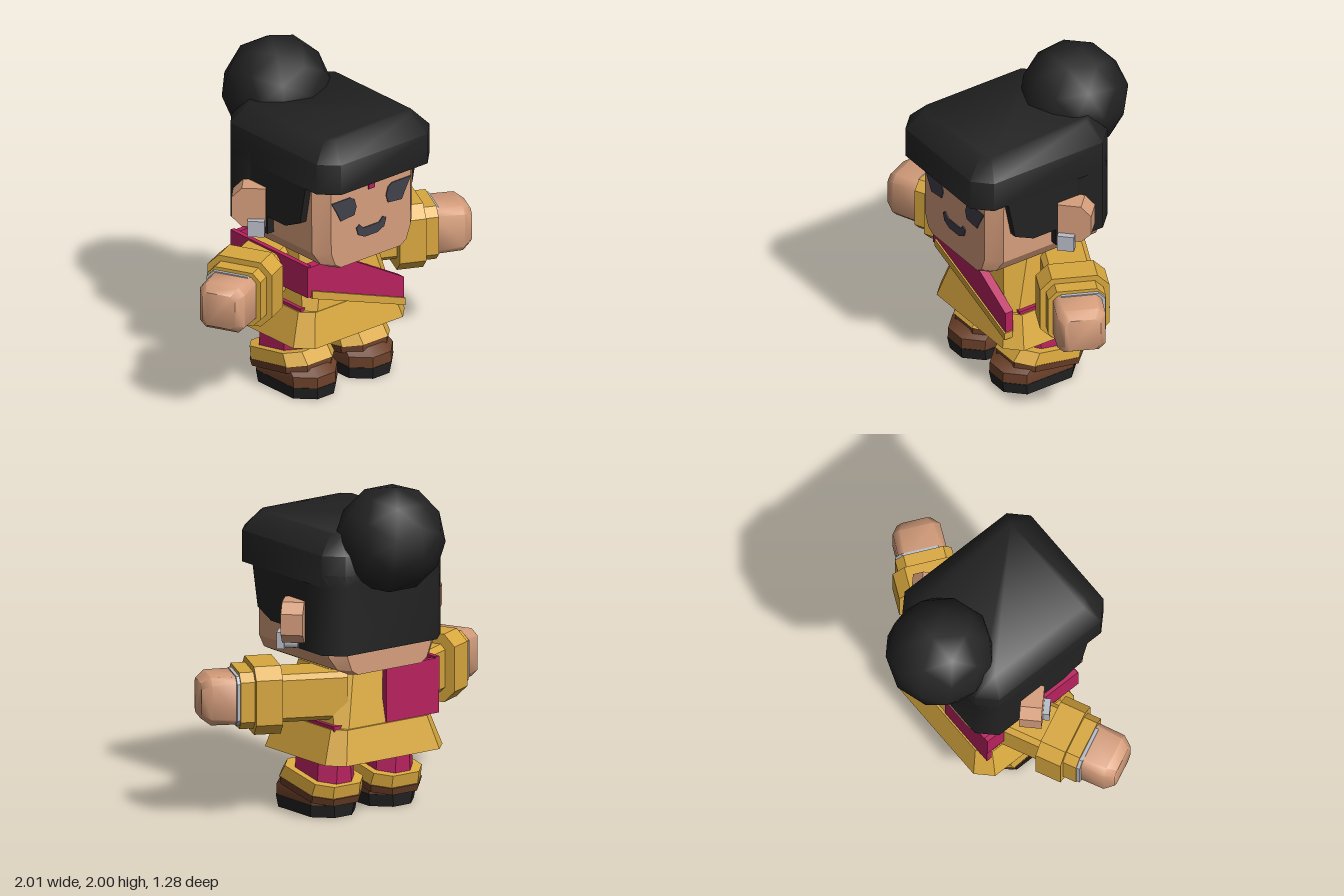
import * as THREE from 'three';
import { toCreasedNormals } from 'three/addons/utils/BufferGeometryUtils.js';

const paint = (name, color) => {
  const m = new THREE.MeshStandardMaterial({ color });
  m.name = name;
  return m;
};

// Loft of rectangles with cut corners; ring = [y, halfWidth, zBack, zFront, cornerCut]
function loft(rings, crease = 0.5) {
  const loops = rings.map(([y, h, b, f, c]) => [
    [h, y, f - c], [h, y, b + c], [h - c, y, b], [c - h, y, b],
    [-h, y, b + c], [-h, y, f - c], [c - h, y, f], [h - c, y, f],
  ]);
  const pos = [];
  const tri = (...p) => p.forEach((v) => pos.push(...v));
  for (let k = 0; k + 1 < loops.length; k++) {
    const lo = loops[k], up = loops[k + 1];
    for (let i = 0; i < 8; i++) {
      const j = (i + 1) % 8;
      tri(lo[i], lo[j], up[j]);
      tri(lo[i], up[j], up[i]);
    }
  }
  const bottom = loops[0], top = loops[loops.length - 1];
  for (let i = 1; i < 7; i++) {
    tri(top[0], top[i], top[i + 1]);
    tri(bottom[0], bottom[i + 1], bottom[i]);
  }
  const g = new THREE.BufferGeometry();
  g.setAttribute('position', new THREE.Float32BufferAttribute(pos, 3));
  g.computeVertexNormals();
  return toCreasedNormals(g, crease);
}

// Flat polygon with thickness, starting at z
function plate(points, z, depth) {
  const shape = new THREE.Shape(points.map(([x, y]) => new THREE.Vector2(x, y)));
  return new THREE.ExtrudeGeometry(shape, { depth, bevelEnabled: false }).translate(0, 0, z);
}

// Box given by its limits
const block = (x0, x1, y0, y1, z0, z1) =>
  new THREE.BoxGeometry(x1 - x0, y1 - y0, z1 - z0)
    .translate((x0 + x1) / 2, (y0 + y1) / 2, (z0 + z1) / 2);

export function createModel() {
  const model = new THREE.Group();
  model.name = 'figure';
  const skin = paint('skin', 0xd69e7c);
  const yellow = paint('yellow cloth', 0xd9a83f);
  const magenta = paint('magenta cloth', 0xb8225f);
  const black = paint('black', 0x222222);
  const brown = paint('brown leather', 0x6b4029);
  const slate = paint('slate', 0x41414b);
  const silver = paint('silver', 0xb9bdc8);

  const add = (name, geometry, material, parent = model) => {
    const mesh = new THREE.Mesh(geometry, material);
    mesh.name = name;
    parent.add(mesh);
    return mesh;
  };
  const group = (name) => {
    const g = new THREE.Group();
    g.name = name;
    model.add(g);
    return g;
  };

  // Head
  add('head', loft([
    [0.89, 0.27, -0.31, 0.52, 0.04],
    [0.92, 0.335, -0.31, 0.52, 0.06],
    [1.0, 0.385, -0.31, 0.52, 0.08],
    [1.5, 0.39, -0.31, 0.52, 0.08],
  ]), skin);

  // Hair: cap with fringe, back, sides and bun
  add('hairCap', loft([
    [1.43, 0.435, -0.33, 0.64, 0.1],
    [1.62, 0.435, -0.33, 0.64, 0.1],
    [1.73, 0.335, -0.23, 0.54, 0.05],
  ], 0.9), black);
  add('hairBack', loft([
    [1.02, 0.435, -0.33, 0.05, 0.1],
    [1.5, 0.435, -0.33, 0.05, 0.1],
  ], 0.9), black);
  add('hairSides', plate([
    [-0.22, 1.02], [0.1, 1.02], [0.1, 1.13], [0.26, 1.13],
    [0.39, 1.19], [0.44, 1.44], [-0.22, 1.5],
  ], -0.434, 0.868).rotateY(-Math.PI / 2), black);
  const bun = add('bun', new THREE.IcosahedronGeometry(0.325, 1), black);
  bun.position.set(0, 1.68, -0.32);
  bun.rotation.x = -0.17;

  // Face details
  const eye = [[0.115, 1.25], [0.13, 1.2], [0.235, 1.19], [0.26, 1.24], [0.305, 1.32], [0.16, 1.32], [0.13, 1.3]];
  for (const s of [1, -1]) {
    add(s > 0 ? 'leftEye' : 'rightEye', plate(eye.map(([x, y]) => [s * x, y]), 0.519, 0.007), slate);
  }
  add('mouth', plate([
    [-0.115, 1.11], [-0.1, 1.06], [-0.05, 1.035], [0.05, 1.035], [0.1, 1.06], [0.115, 1.11],
    [0.09, 1.125], [0.06, 1.095], [-0.06, 1.095], [-0.09, 1.125],
  ], 0.519, 0.007), slate);
  add('foreheadMark', block(-0.024, 0.024, 1.333, 1.381, 0.521, 0.53), magenta);

  // Torso, belt and skirt
  add('torso', loft([
    [0.54, 0.335, -0.28, 0.36, 0.06],
    [0.89, 0.28, -0.2, 0.3, 0.1],
  ]), yellow);
  add('belt', block(-0.352, 0.352, 0.55, 0.58, -0.24, 0.3), magenta);
  add('skirt', loft([
    [0.36, 0.43, -0.345, 0.415, 0.09],
    [0.56, 0.36, -0.29, 0.36, 0.07],
  ]), yellow);

  // Sash across the chest, over the right shoulder and down the back
  add('sashFront', plate([
    [-0.39, 0.89], [-0.39, 0.7], [-0.36, 0.7], [0.355, 0.46], [0.355, 0.61], [-0.14, 0.892],
  ], 0.35, 0.055), magenta);
  add('sashTrim', plate([
    [-0.36, 0.69], [0.36, 0.43], [0.36, 0.475], [-0.36, 0.74],
  ], 0.36, 0.055), yellow);
  add('sashShoulder', block(-0.39, -0.36, 0.7, 0.9, -0.28, 0.4), magenta);
  add('sashBack', block(-0.385, 0.0, 0.56, 0.89, -0.28, -0.245), magenta);

  for (const s of [1, -1]) {
    const side = s > 0 ? 'left' : 'right';

    // Arm, built along its own axis and angled forward
    const arm = group(side + 'Arm');
    arm.position.set(0.07 * s, 0.745, -0.149);
    arm.rotation.y = s > 0 ? -0.441 : Math.PI + 0.441;
    const limb = (name, rings, material, crease) => {
      const mesh = add(name, loft(rings.map(([d, h, c]) => [d, h, -h, h, c]), crease), material, arm);
      mesh.rotation.z = -Math.PI / 2;
      return mesh;
    };
    limb('sleeve', [[0.12, 0.143, 0.03], [0.55, 0.143, 0.03]], yellow);
    limb('wideCuff', [[0.52, 0.205, 0.07], [0.68, 0.205, 0.07]], yellow);
    limb('narrowCuff', [[0.67, 0.17, 0.05], [0.765, 0.17, 0.05]], yellow);
    limb('bracelet', [[0.76, 0.15, 0.04], [0.785, 0.15, 0.04]], silver).position.z = -0.015 * s;
    limb('hand', [[0.74, 0.143, 0.03], [0.93, 0.143, 0.04], [0.985, 0.105, 0.03]], skin, 0.9);

    // Ear with earring, swept back
    const ear = group(side + 'Ear');
    ear.position.set(0.545 * s, 0, -0.085);
    ear.rotation.y = s > 0 ? Math.PI / 4 : Math.PI * 0.75;
    add('earShell', plate([
      [-0.2, 1.07], [-0.06, 1.07], [0, 1.13], [0, 1.255], [-0.06, 1.315], [-0.2, 1.315],
    ], -0.065, 0.13), skin, ear);
    add('earring', new THREE.BoxGeometry(0.1, 0.1, 0.045), silver, ear).position.set(-0.145, 1.07, 0.08 * s);
    const stud = add('earringStud', new THREE.CylinderGeometry(0.032, 0.032, 0.09, 10), silver, ear);
    stud.rotation.x = Math.PI / 2;
    stud.position.set(-0.145, 1.05, 0.025 * s);

    // Leg with trouser cuff and shoe
    const leg = group(side + 'Leg');
    leg.position.x = 0.215 * s;
    add('trouser', loft([
      [0.12, 0.14, -0.155, 0.225, 0.08],
      [0.4, 0.122, -0.155, 0.225, 0.08],
    ]), magenta, leg);
    const band = new THREE.Group();
    band.name = 'ankleBand';
    band.position.set(0, 0.2, 0.05);
    band.rotation.x = -0.18;
    leg.add(band);
    add('trouserCuff', loft([
      [-0.04, 0.185, -0.235, 0.265, 0.09],
      [0.04, 0.175, -0.235, 0.225, 0.08],
    ]), yellow, band);
    add('shoeCollar', loft([
      [-0.08, 0.18, -0.24, 0.25, 0.09],
      [-0.035, 0.186, -0.245, 0.255, 0.09],
    ]), brown, band);
    add('shoe', loft([
      [0.07, 0.17, -0.155, 0.375, 0.1],
      [0.14, 0.17, -0.155, 0.372, 0.1],
      [0.2, 0.15, -0.13, 0.28, 0.09],
    ]), brown, leg);
    add('sole', loft([
      [0, 0.163, -0.148, 0.365, 0.1],
      [0.075, 0.172, -0.157, 0.377, 0.1],
    ]), black, leg);
  }
  return model;
}
